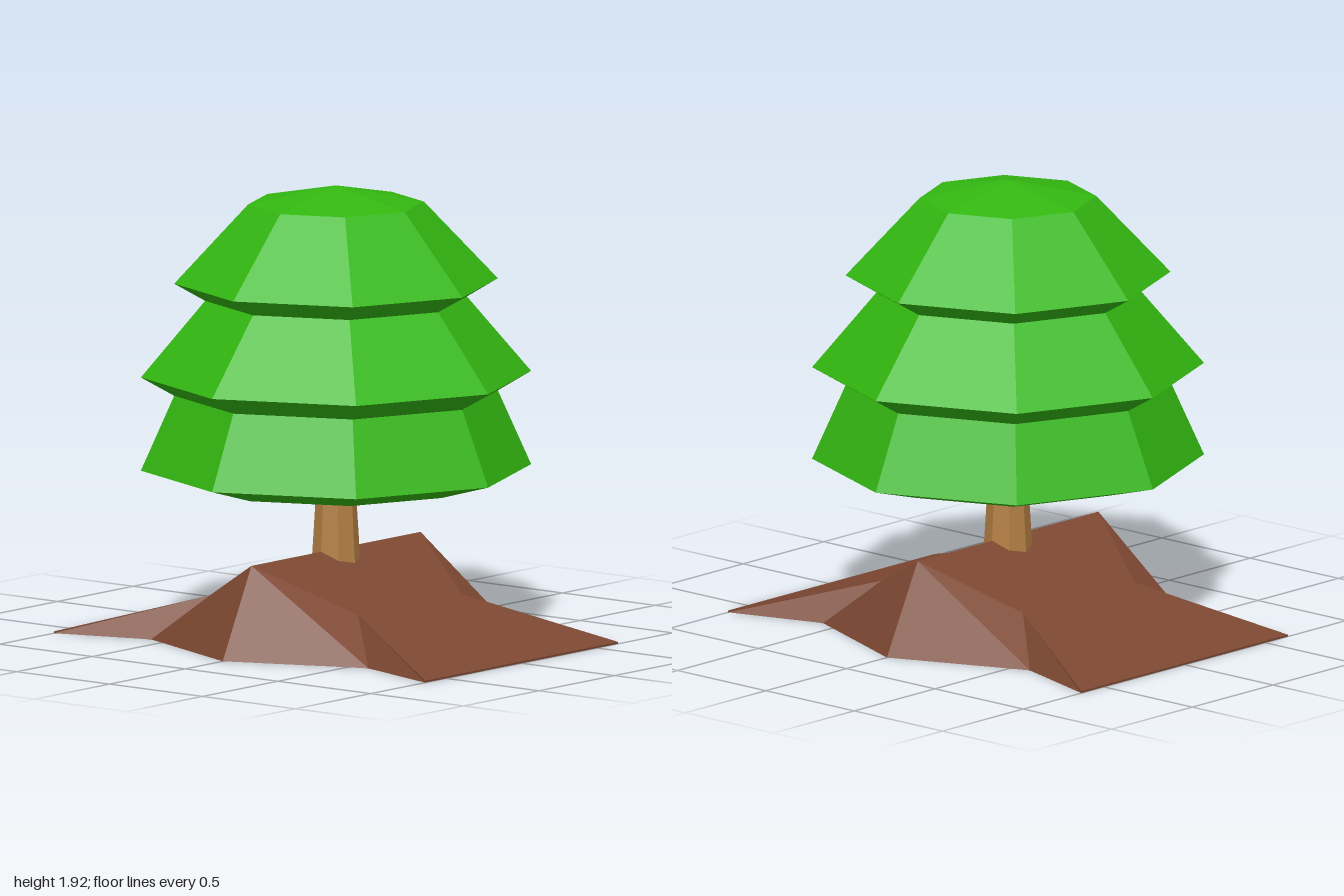
import * as THREE from 'three';

const mat = (name, color) => {
  const m = new THREE.MeshStandardMaterial({ color, flatShading: true });
  m.name = name;
  return m;
};

// Eight-sided solid turned from a bottom-to-top profile of [radius, y]
function turned(name, profile, material) {
  const points = profile.map(([r, y]) => new THREE.Vector2(r, y));
  const mesh = new THREE.Mesh(new THREE.LatheGeometry(points, 8), material);
  mesh.name = name;
  return mesh;
}

// Half of the mound: cross-sections running from the ridge out to the tip
function moundHalfGeometry() {
  const sections = [
    { top: [0.56, 0.38, 0], bottom: [0.75, 0, 0] },
    { top: [0.345, 0.185, 0.4], bottom: [0.505, 0, 0.585] },
    { top: [0.64, 0.008, 1], bottom: [0.64, 0, 1] },
  ];
  const positions = [];
  for (const { top, bottom } of sections) {
    const [tx, ty, tz] = top, [bx, by, bz] = bottom;
    // corner order: top left, top right, bottom right, bottom left
    positions.push(-tx, ty, tz, tx, ty, tz, bx, by, bz, -bx, by, bz);
  }
  const index = [];
  for (let i = 0; i < sections.length - 1; i++) {
    const [a, b, c, d] = [0, 1, 2, 3].map((k) => i * 4 + k);
    const [e, f, g, h] = [4, 5, 6, 7].map((k) => i * 4 + k);
    index.push(a, e, f, a, f, b); // top
    index.push(b, g, c, b, f, g); // +x side
    index.push(a, d, h, a, h, e); // -x side
    index.push(d, c, g, d, g, h); // underside
  }
  index.push(8, 11, 10, 8, 10, 9); // thin end edge
  const geometry = new THREE.BufferGeometry();
  geometry.setAttribute('position', new THREE.Float32BufferAttribute(positions, 3));
  geometry.setIndex(index);
  geometry.computeVertexNormals();
  return geometry;
}

export function createModel() {
  const leaf = mat('leaf green', 0x33b811);
  const bark = mat('bark brown', 0xb58044);
  const soil = mat('soil brown', 0x7d4832);

  const tree = new THREE.Group();
  tree.name = 'tree';

  // Ground mound, two matching halves
  const mound = new THREE.Group();
  mound.name = 'mound';
  const half = moundHalfGeometry();
  ['moundFront', 'moundBack'].forEach((name, i) => {
    const mesh = new THREE.Mesh(half, soil);
    mesh.name = name;
    mesh.rotation.y = i * Math.PI;
    mound.add(mesh);
  });
  tree.add(mound);

  // Trunk, sunk into the mound and the foliage
  tree.add(turned('trunk', [[0, 0.28], [0.105, 0.28], [0.083, 0.64], [0, 0.64]], bark));

  // Three-tiered foliage
  tree.add(turned('foliage', [
    [0, 0.615], [0.57, 0.655], [0.82, 0.725],
    [0.68, 1.04], [0.82, 1.12],
    [0.55, 1.44], [0.68, 1.515],
    [0.37, 1.845], [0, 1.92],
  ], leaf));

  return tree;
}
